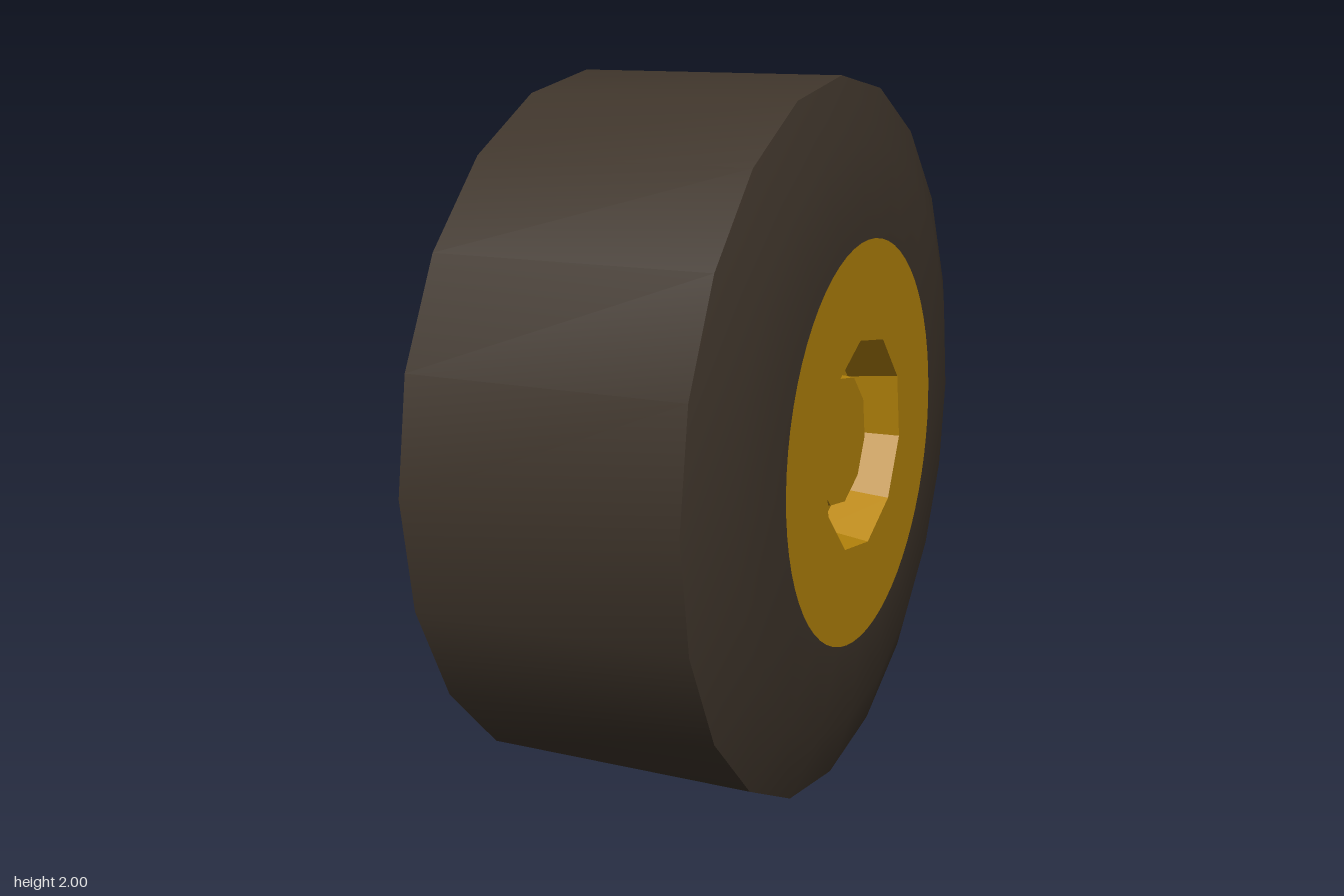
import * as THREE from 'three';
import { toCreasedNormals } from 'three/addons/utils/BufferGeometryUtils.js';

const SIDES = 10;
const HUB_TURN = -Math.PI / 20; // the decagon is turned by 9 degrees

// Turns a profile of [radius, x] pairs around the wheel's axle (the x axis)
function turned(profile, sides, start = 0) {
  const points = profile.map(([r, x]) => new THREE.Vector2(r, x));
  const geometry = new THREE.LatheGeometry(points, sides, start);
  geometry.rotateZ(-Math.PI / 2);
  return toCreasedNormals(geometry, 0.5);
}

export function createModel() {
  const rubber = new THREE.MeshStandardMaterial({ color: 0x3f352b });
  rubber.name = 'dark rubber';
  const gold = new THREE.MeshStandardMaterial({ color: 0xb8860b });
  gold.name = 'gold';

  const wheel = new THREE.Group();
  wheel.name = 'wheel';
  wheel.position.y = 1;

  const add = (name, geometry, material) => {
    const mesh = new THREE.Mesh(geometry, material);
    mesh.name = name;
    wheel.add(mesh);
    return mesh;
  };

  // Tire: closed flat back, straight tread, domed outer sidewall
  add('tire', turned([
    [0, -0.46], [0.83, -0.46], [1, -0.4], [1, 0.37],
    [0.82, 0.43], [0.57, 0.452], [0.5, 0.452],
  ], 20), rubber);

  // Rim: round flat disc with a ten-sided opening
  const disc = new THREE.Shape().absarc(0, 0, 0.567, 0, Math.PI * 2);
  const opening = [];
  for (let i = 0; i < SIDES; i++) {
    const a = HUB_TURN - (i * Math.PI * 2) / SIDES;
    opening.push(new THREE.Vector2(0.302 * Math.cos(a), 0.302 * Math.sin(a)));
  }
  disc.holes.push(new THREE.Path(opening));
  const rim = add('rimDisc', new THREE.ShapeGeometry(disc, 32), gold);
  rim.rotation.y = Math.PI / 2;
  rim.position.x = 0.455;

  // Recess wall and floor, then the hub standing in it
  const start = Math.PI + HUB_TURN;
  add('hubRecess', turned([[0.302, 0.455], [0.28, 0.31], [0.18, 0.31]], SIDES, start), gold);
  add('hub', turned([[0.192, 0.31], [0.185, 0.39], [0, 0.39]], SIDES, start), gold);

  const model = new THREE.Group();
  model.name = 'wheelModel';
  model.add(wheel);
  return model;
}
